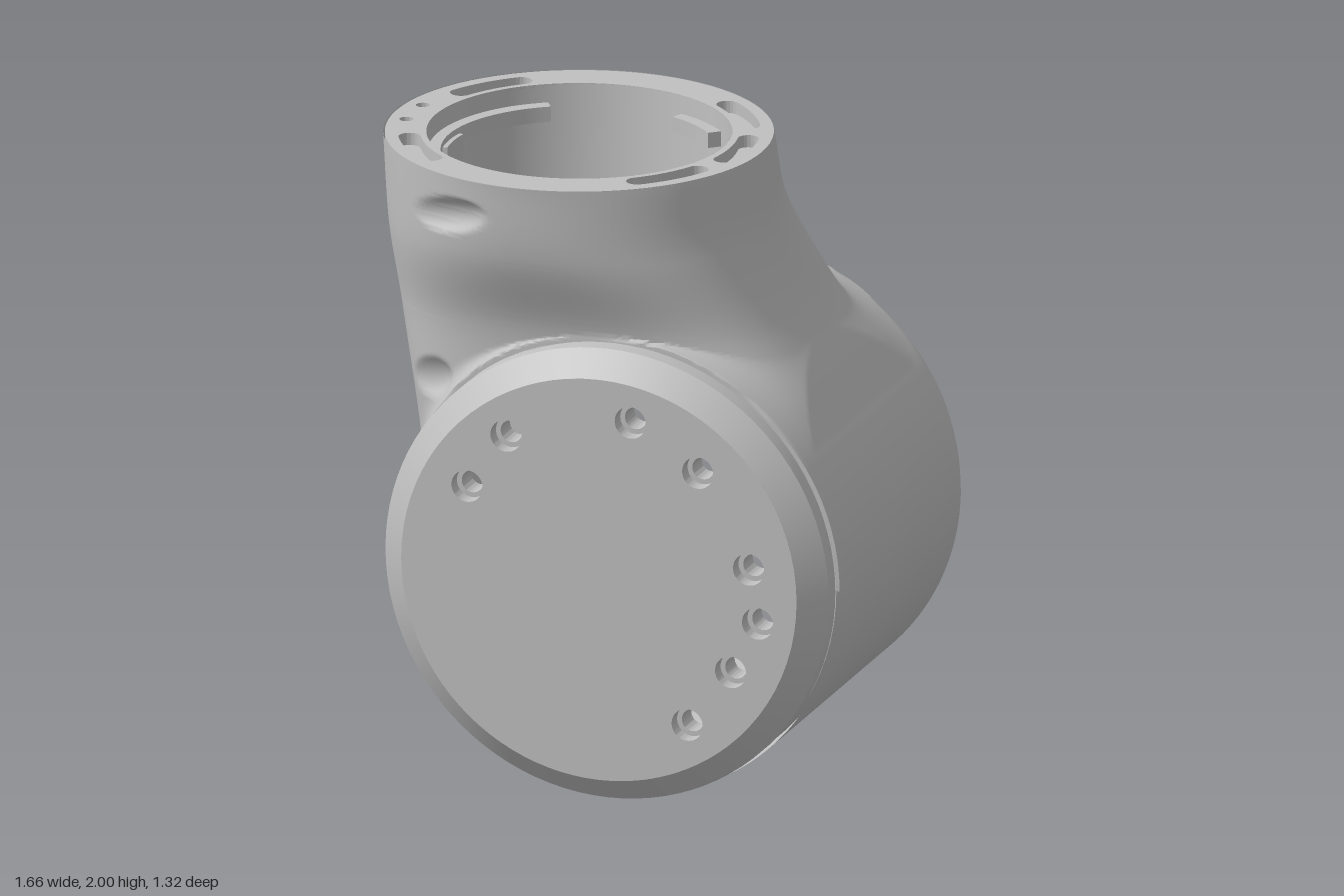
import * as THREE from 'three';
import { toCreasedNormals } from 'three/addons/utils/BufferGeometryUtils.js';

const CX = 0.08, CY = 0.75, R = 0.748;                 // horizontal barrel
const BORE = 0.562, CAVITY = 0.645;                    // bearing bore and wider chamber
const NX = -0.22, NZ = 0.015, NR = 0.48;               // upright neck
const BACK = -0.6, FRONT = 0.505, OPEN = 0.735;
const STEP = -0.16, WALL = 0.36;                       // chamber ends
const MOUTH = 0.81, MZ = -0.03;                        // neck bore narrowing where it meets the chamber
const RAD = Math.PI / 180;

// Neck outline by height: left x, right x, front z, squareness of the section
const outline = new THREE.CubicInterpolant(
  [0.75, 1.0, 1.25, 1.5, 1.75, 2.0],
  [-0.66, 0.82, 0.45, 5, -0.665, 0.78, 0.46, 5, -0.7, 0.655, 0.48, 4.4,
    -0.76, 0.51, 0.505, 3.2, -0.81, 0.42, 0.6, 2.3, -0.835, 0.39, 0.63, 2], 4);

// Surface over a grid of u, v in 0..1
function grid(nu, nv, fn) {
  const pos = [], idx = [];
  for (let j = 0; j <= nv; j++) for (let i = 0; i <= nu; i++) pos.push(...fn(i / nu, j / nv));
  for (let j = 0; j < nv; j++) for (let i = 0; i < nu; i++) {
    const a = j * (nu + 1) + i, b = a + nu + 1;
    idx.push(a, a + 1, b, a + 1, b + 1, b);
  }
  const g = new THREE.BufferGeometry();
  g.setAttribute('position', new THREE.Float32BufferAttribute(pos, 3));
  g.setIndex(idx);
  return toCreasedNormals(g, 1.0);
}

// Depth of an oval screw recess at offset (dx, dy)
function dent(dx, dy, rx, ry, tilt) {
  const c = Math.cos(tilt), s = Math.sin(tilt);
  const d = ((dx * c + dy * s) / rx) ** 2 + ((dy * c - dx * s) / ry) ** 2;
  return 0.035 * Math.max(0, 1 - d);
}

// Horizontal section point of the upper shell; angle 0 faces the back
function shellPoint(y, th) {
  const [xl, xr, zf, n] = outline.evaluate(y);
  const dx = Math.sin(th), dz = -Math.cos(th);
  const ax = (xr - xl) / 2, az = (zf - BACK) / 2;
  const mx = (xr + xl) / 2, mz = (zf + BACK) / 2;
  // Distance to the rounded-square neck section, by bisection
  let neck = 0;
  for (let s = 0.8; s > 1e-6; s /= 2) {
    const px = Math.abs((CX + dx * (neck + s) - mx) / ax), pz = Math.abs((dz * (neck + s) - mz) / az);
    if (px ** n + pz ** n < 1) neck += s;
  }
  const half = Math.sqrt(Math.max(0, R * R - (y - CY) ** 2));
  const barrel = Math.min(half / Math.max(1e-6, Math.abs(dx)),
    (dz < 0 ? -BACK : FRONT) / Math.max(1e-6, Math.abs(dz)));
  // Soft union of neck and barrel, kept inside the side outline
  const k = 0.001 + 0.12 * THREE.MathUtils.smoothstep(y, 0.8, 1.4);
  const h = Math.max(k - Math.abs(neck - barrel), 0) / k;
  let r = Math.max(neck, barrel) + h * h * k / 4;
  const limit = dx < 0 ? Math.min(xl, CX - half) : Math.max(xr, CX + half);
  if (Math.abs(dx) > 1e-6) r = Math.min(r, (limit - CX) / dx);
  const x = CX + dx * r;
  if (dx < 0) r -= dent(x + 0.45, y - 1.87, 0.14, 0.06, 0.2) + dent(x + 0.56, y - 1.28, 0.085, 0.065, 0.5);
  return [CX + dx * r, y, THREE.MathUtils.clamp(dz * r, BACK, Math.max(FRONT, zf))];
}

function circle(x, y, r) {
  return new THREE.Path().absarc(x, y, r, 0, Math.PI * 2, true);
}

function ring(rOut, rIn) {
  const s = new THREE.Shape().absarc(0, 0, rOut, 0, Math.PI * 2, false);
  if (rIn) s.holes.push(circle(0, 0, rIn));
  return s;
}

// Curved slot with round ends
function slot(r, w, deg, spread) {
  const a = (deg - spread) * RAD, b = (deg + spread) * RAD;
  return new THREE.Path()
    .absarc(0, 0, r + w, a, b, false)
    .absarc(r * Math.cos(b), r * Math.sin(b), w, b, b + Math.PI, false)
    .absarc(0, 0, r - w, b, a, true)
    .absarc(r * Math.cos(a), r * Math.sin(a), w, a + Math.PI, a + 2 * Math.PI, false);
}

function arcBar(rIn, rOut, a, b) {
  return new THREE.Shape()
    .absarc(0, 0, rOut, a * RAD, b * RAD, false)
    .absarc(0, 0, rIn, b * RAD, a * RAD, true);
}

function slab(shape, depth) {
  const g = new THREE.ExtrudeGeometry(shape, { depth, bevelEnabled: false, curveSegments: 40 });
  return toCreasedNormals(g, 0.6);
}

export function createModel() {
  const model = new THREE.Group();
  model.name = 'jointHousing';
  const grey = new THREE.MeshStandardMaterial({ color: 0xc0c0c0, side: THREE.DoubleSide });
  grey.name = 'grey';
  const add = (name, geo, x = 0, y = 0, z = 0) => {
    const m = new THREE.Mesh(geo, grey);
    m.name = name;
    m.position.set(x, y, z);
    model.add(m);
  };
  const addFlat = (name, shape, depth, y) =>
    add(name, slab(shape, depth).rotateX(-Math.PI / 2), NX, y, NZ);

  // Upper shell: barrel blending into the neck, open at both barrel ends
  for (const side of [1, -1]) {
    add(side > 0 ? 'leftShell' : 'rightShell', grid(130, 130, (u, v) => {
      const low = v < 0.5;
      const y = low ? CY + OPEN * Math.sin(v * Math.PI) : CY + OPEN + (v - 0.5) * 2 * (2 - CY - OPEN);
      const h = low ? OPEN * Math.cos(v * Math.PI) : 0;
      const a = Math.atan(h / -BACK), b = Math.PI - Math.atan(h / FRONT);
      return shellPoint(y, side * (a + (b - a) * u));
    }));
  }

  // Lower half of the barrel with two recesses underneath
  add('lowerShell', grid(140, 100, (u, v) => {
    const a = Math.PI * (1 + u), z = BACK + (FRONT - BACK) * v, x = CX + R * Math.cos(a);
    const r = R - dent(x + 0.05, z + 0.3, 0.13, 0.055, 0) - dent(x + 0.05, z - 0.4, 0.13, 0.055, 0);
    return [CX + r * Math.cos(a), CY + r * Math.sin(a), z];
  }));

  // Chamber inside the barrel, cut away where the neck enters
  const chamber = (a, z) => [CX + CAVITY * Math.cos(a), CY + CAVITY * Math.sin(a), z];
  const cut = Math.acos((NX + NR - CX) / CAVITY);
  add('lowerChamber', grid(80, 1, (u, v) => chamber(Math.PI + u * (Math.PI + cut), STEP + v * (WALL - STEP))));
  for (const s of [-1, 1]) {
    add(s < 0 ? 'upperChamberBack' : 'upperChamberFront', grid(48, 1, (u, v) => {
      const a = cut + u * (Math.PI - cut), x = CX + CAVITY * Math.cos(a);
      const edge = MZ + s * MOUTH * Math.sqrt(Math.max(0, NR * NR - (x - NX) ** 2));
      return chamber(a, v ? edge : s < 0 ? BACK + 0.12 : WALL);
    }));
  }
  add('neckBore', grid(96, 1, (u, v) => {
    const a = u * Math.PI * 2, x = NX + NR * Math.cos(a), dz = NR * Math.sin(a);
    const bx = Math.max(x, CX - CAVITY);
    return v ? [x, 2, NZ + dz]
      : [bx, CY + Math.sqrt(Math.max(0, CAVITY * CAVITY - (bx - CX) ** 2)), MZ + MOUTH * dz];
  }));

  // Slotted flange and bearing tube at the back, thick wall ring at the front
  const flange = ring(OPEN + 0.003, BORE);
  for (const d of [-34, 0, 31, 60, 144, 177, 212, 239]) flange.holes.push(slot(0.65, 0.048, d, 8.5));
  add('backFlange', slab(flange, 0.12), CX, CY, BACK);
  add('backFlangeFloor', slab(ring(OPEN, BORE), 0.01), CX, CY, BACK + 0.12);
  add('bearingTube', slab(ring(CAVITY - 0.005, BORE), STEP - BACK - 0.12), CX, CY, BACK + 0.12);
  add('frontWall', slab(ring(CAVITY + 0.01, 0.577), 0.02), CX, CY, WALL);
  add('frontFlange', slab(ring(OPEN + 0.003, 0.577), FRONT - WALL - 0.02), CX, CY, WALL + 0.02);

  // Slotted rim on top of the neck
  const rim = ring(0.61, NR);
  for (const d of [-38, 38, 142, 218]) rim.holes.push(slot(0.535, 0.035, d, 12));
  rim.holes.push(slot(0.535, 0.033, 0, 12));
  for (const y of [-0.075, 0.075]) rim.holes.push(circle(-0.55, y, 0.022));
  addFlat('topRim', rim, 0.04, 1.96);
  addFlat('topRimFloor', ring(0.6, NR), 0.01, 1.95);

  // Locking bars inside the neck and the back opening
  for (const [a, b] of [[42, 68], [122, 238], [-62, -38]]) addFlat('neckLockBar', arcBar(0.435, NR + 0.01, a, b), 0.05, 1.89);
  for (const a of [-10, 170]) addFlat('neckClip', arcBar(0.42, NR + 0.01, a, a + 20), 0.08, 1.84);
  add('backClip', slab(arcBar(0.515, 0.572, 229, 259), 0.2), CX, CY, -0.66);
  add('backLockBar', slab(arcBar(0.49, 0.57, 62, 82), 0.06), CX, CY, -0.5);
  add('innerStep', new THREE.BoxGeometry(0.44, 0.06, 0.09), -0.25, 1.4, -0.375);
  add('innerBracket', new THREE.BoxGeometry(0.17, 0.08, 0.17), 0.025, 1.38, -0.265);
  add('bracketPin', new THREE.CylinderGeometry(0.032, 0.032, 0.02, 20), 0.04, 1.43, -0.255);

  // Chamfered front cover with counterbored screw holes
  const holes = [[-0.36, 1.01], [-0.23, 1.19], [0.185, 1.28], [0.41, 1.14],
    [0.58, 0.84], [0.61, 0.665], [0.52, 0.495], [0.375, 0.305]];
  for (const [name, r, depth, z] of [['coverFace', 0.052, 0.05, 0.605], ['coverBase', 0.036, 0.085, 0.52]]) {
    const disc = ring(0.66);
    for (const [x, y] of holes) disc.holes.push(circle(x - CX, y - CY, r));
    add(name, slab(disc, depth), CX, CY, z);
  }
  const edge = [[0.66, 0.52], [0.74, 0.52], [0.74, 0.58], [0.66, 0.655]].map(p => new THREE.Vector2(...p));
  add('coverEdge', toCreasedNormals(new THREE.LatheGeometry(edge, 96), 0.5).rotateX(Math.PI / 2), CX, CY, 0);

  return model;
}
